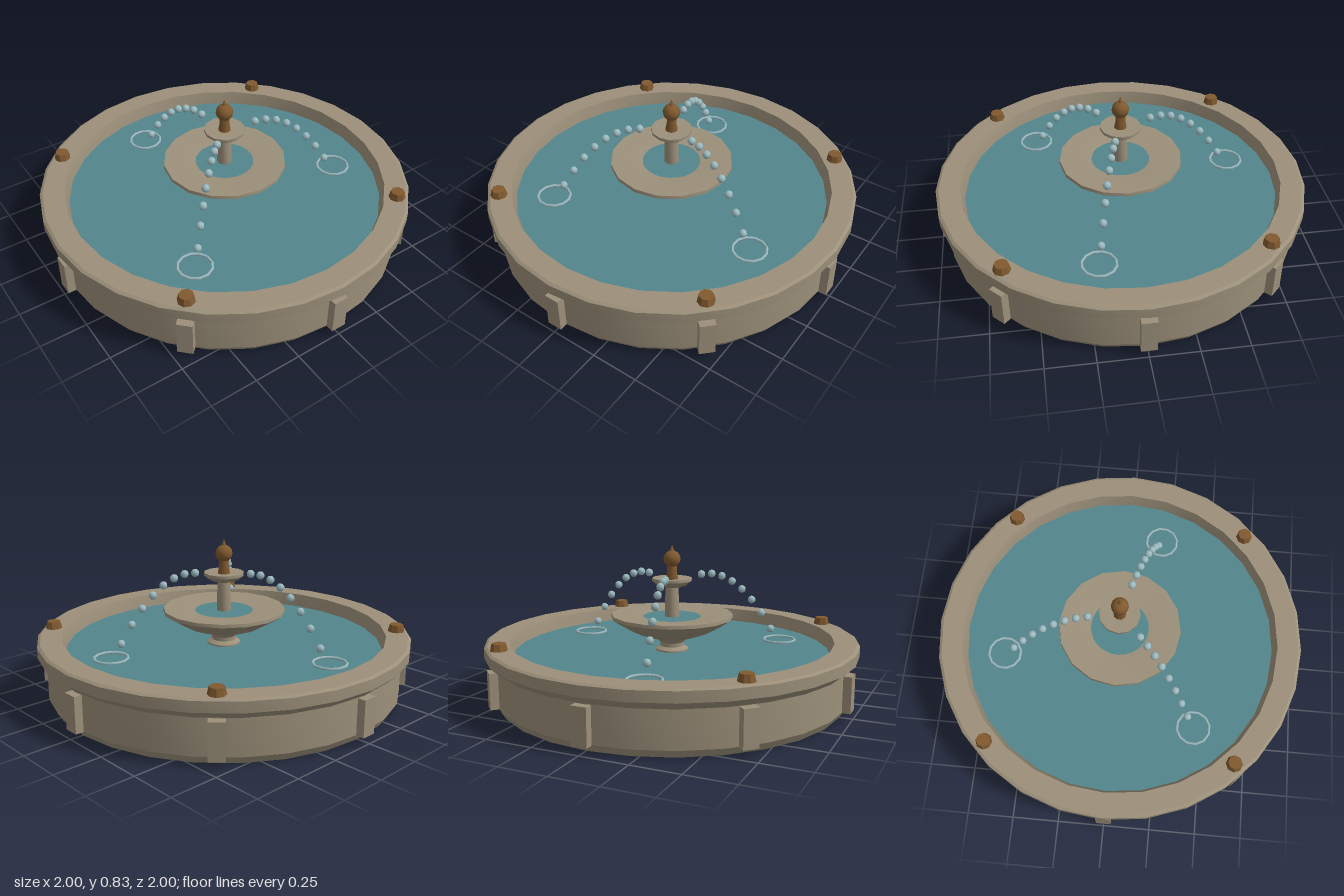
import * as THREE from 'three';
import { toCreasedNormals } from 'three/addons/utils/BufferGeometryUtils.js';

const mat = (color) => new THREE.MeshStandardMaterial({ color });

export function createModel() {
  const root = new THREE.Group();
  const stone = mat(0x9c907a);
  const brass = mat(0x80592f);
  const water = mat(0x52868b);
  const spray = mat(0x9dbcc2);

  const add = (name, geometry, material, x = 0, y = 0, z = 0, parent = root) => {
    const mesh = new THREE.Mesh(geometry, material);
    mesh.name = name;
    mesh.position.set(x, y, z);
    parent.add(mesh);
    return mesh;
  };
  // Turned part from [radius, height] pairs, listed from the bottom up the outside
  const turned = (name, profile, sides, material, crease = 0.55) =>
    add(name, toCreasedNormals(
      new THREE.LatheGeometry(profile.map(([r, y]) => new THREE.Vector2(r, y)), sides), crease), material);
  const disc = (name, radius, sides, y) =>
    add(name, new THREE.CircleGeometry(radius, sides).rotateX(-Math.PI / 2), water, 0, y);

  // Main basin with overhanging rim
  turned('basin', [
    [0, 0], [0.93, 0], [0.955, 0.04], [0.955, 0.23], [1, 0.27], [1, 0.325],
    [0.985, 0.334], [0.87, 0.334], [0.85, 0.26], [0.845, 0.2], [0, 0.2],
  ], 28, stone, 0.4);
  disc('basinWater', 0.852, 28, 0.262);

  // Buttress blocks around the wall
  const blocks = new THREE.Group();
  blocks.name = 'buttresses';
  root.add(blocks);
  for (let i = 0; i < 8; i++) {
    const a = (i * Math.PI) / 4;
    const block = add('buttress', new THREE.BoxGeometry(0.08, 0.19, 0.075), stone,
      Math.sin(a) * 0.956, 0.132, Math.cos(a) * 0.956, blocks);
    block.rotation.y = a;
  }

  // Metal studs on the rim
  for (const x of [-0.66, 0.66]) {
    for (const z of [-0.66, 0.66]) {
      add('rimStud', toCreasedNormals(new THREE.CylinderGeometry(0.036, 0.046, 0.042, 8), 0.4), brass, x, 0.351, z);
    }
  }

  // Pedestal, lower bowl, column and upper bowl
  turned('pedestal', [[0.09, 0.2], [0.09, 0.27], [0.065, 0.285], [0.065, 0.305], [0.09, 0.34]], 14, stone);
  turned('lowerBowl', [
    [0, 0.325], [0.11, 0.333], [0.21, 0.368], [0.29, 0.415], [0.33, 0.442],
    [0.328, 0.46], [0.31, 0.46], [0.155, 0.443], [0, 0.43],
  ], 16, stone, 0.45);
  disc('lowerBowlWater', 0.156, 24, 0.446);
  turned('column', [[0.04, 0.43], [0.035, 0.62]], 12, stone);
  turned('upperBowl', [
    [0, 0.607], [0.05, 0.607], [0.08, 0.617], [0.108, 0.64], [0.108, 0.655], [0.09, 0.655], [0, 0.645],
  ], 12, stone);

  // Finial
  turned('finialStem', [[0.034, 0.645], [0.026, 0.69], [0.026, 0.73]], 10, brass, 0.7);
  add('finialBall', new THREE.SphereGeometry(0.046, 12, 8), brass, 0, 0.757);
  add('finialSpike', new THREE.ConeGeometry(0.016, 0.045, 8), brass, 0, 0.812);

  // Three arcs of droplets, each ending in a ripple ring
  for (let j = 0; j < 3; j++) {
    const jet = new THREE.Group();
    jet.name = 'waterJet';
    jet.rotation.y = -(0.3 + (j * Math.PI * 2) / 3);
    root.add(jet);
    for (let i = 0; i < 8; i++) {
      add('droplet', new THREE.SphereGeometry(0.022, 7, 5), spray,
        0.168 + i * 0.06, 0.669 - 0.0079 * (i - 0.5) ** 2, 0, jet);
    }
    add('rippleRing', new THREE.TorusGeometry(0.088, 0.008, 5, 12).rotateX(Math.PI / 2), spray, 0.645, 0.268, 0, jet);
  }
  return root;
}
